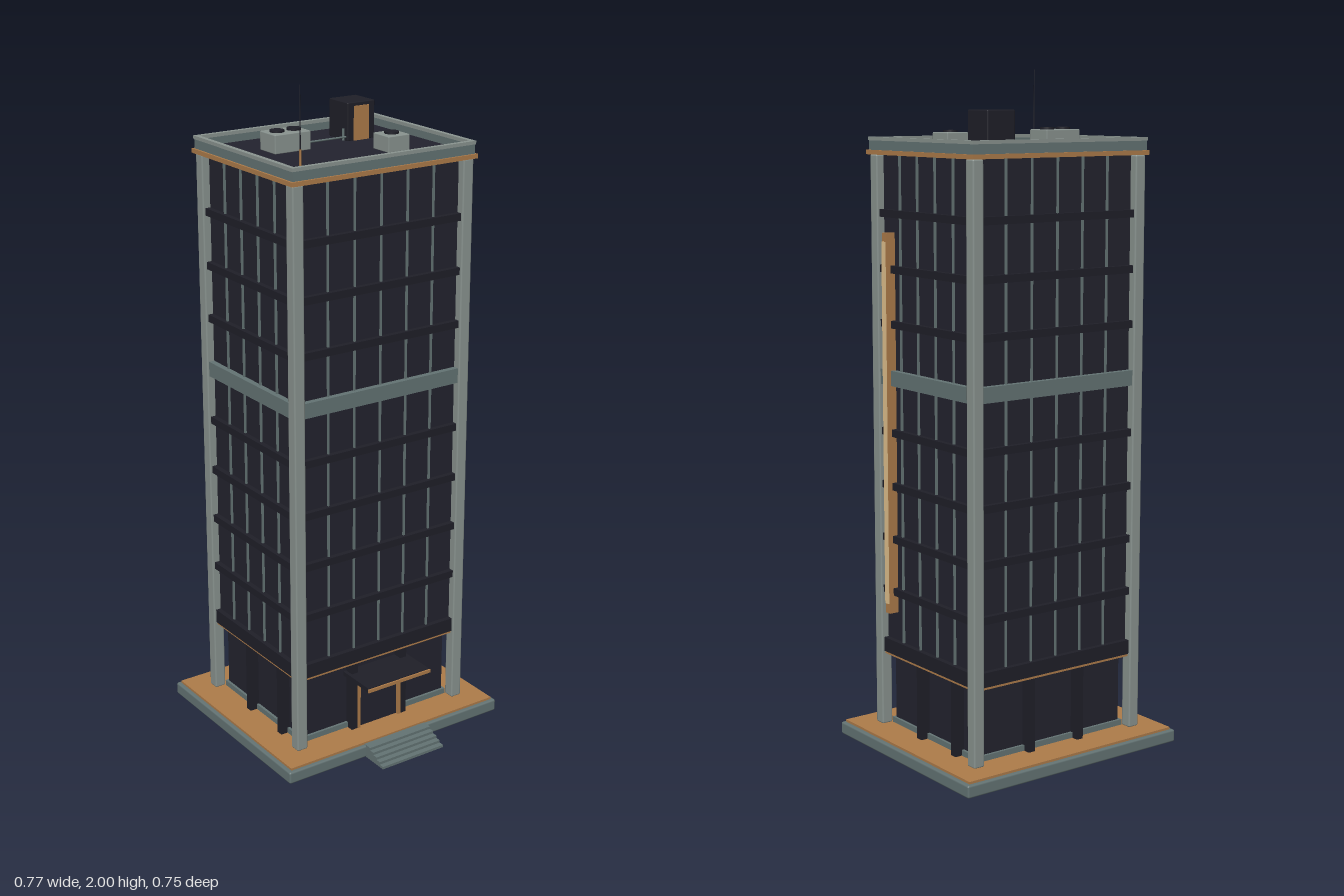
import * as THREE from 'three';
import { RoundedBoxGeometry } from 'three/addons/geometries/RoundedBoxGeometry.js';

const paint = (name, color) => {
  const m = new THREE.MeshStandardMaterial({ color });
  m.name = name;
  return m;
};

export function createModel() {
  const glass = paint('dark glass', 0x23232e);
  const charcoal = paint('charcoal metal', 0x1f1f28);
  const concrete = paint('light concrete', 0x8a9490);
  const slate = paint('slate stone', 0x647474);
  const bronze = paint('bronze', 0xae7c4a);
  const cream = paint('cream lamp', 0xe2c28e);

  const model = new THREE.Group();
  model.name = 'officeTower';
  const add = (parent, name, geometry, material, x, y, z) => {
    const mesh = new THREE.Mesh(geometry, material);
    mesh.name = name;
    mesh.position.set(x, y, z);
    parent.add(mesh);
    return mesh;
  };
  // box given by its limits on each axis; a bevel is optional
  const box = (parent, name, mat, x0, x1, y0, y1, z0, z1, bevel = 0) => {
    const size = [x1 - x0, y1 - y0, z1 - z0];
    const geo = bevel ? new RoundedBoxGeometry(...size, 1, bevel) : new THREE.BoxGeometry(...size);
    return add(parent, name, geo, mat, (x0 + x1) / 2, (y0 + y1) / 2, (z0 + z1) / 2);
  };
  const rod = (parent, name, mat, r0, r1, h, x, y, z, sides = 16) =>
    add(parent, name, new THREE.CylinderGeometry(r1, r0, h, sides), mat, x, y + h / 2, z);

  // Base and paving
  box(model, 'basePlate', slate, -0.385, 0.385, 0, 0.038, -0.375, 0.29, 0.006);
  box(model, 'paving', bronze, -0.373, 0.373, 0.036, 0.045, -0.364, 0.279);

  // Entrance steps
  for (let i = 0; i < 5; i++) {
    box(model, 'step', slate, -0.112, 0.112, 0, 0.008 * (i + 1), 0.27, 0.375 - i * 0.0165);
  }

  const tower = new THREE.Group();
  tower.name = 'tower';
  tower.position.z = -0.042;
  model.add(tower);
  const HX = 0.306, HZ = 0.254, COL = 0.036, TOP = 1.757;

  // Recessed ground storey, upper glass body and plinth
  box(tower, 'groundGlass', glass, -0.262, 0.262, 0.045, 0.28, -0.21, 0.21);
  box(tower, 'upperGlass', glass, -0.282, 0.282, 0.28, TOP, -0.23, 0.23);
  box(tower, 'plinth', slate, -0.27, 0.27, 0.045, 0.062, -0.218, 0.218);
  box(tower, 'soffit', bronze, -0.294, 0.294, 0.267, 0.275, -0.242, 0.242);

  // Corner columns
  for (const sx of [-1, 1]) for (const sz of [-1, 1]) {
    add(tower, 'cornerColumn', new RoundedBoxGeometry(COL, TOP - 0.045, COL, 1, 0.005), concrete,
      sx * (HX - COL / 2), (TOP + 0.045) / 2, sz * (HZ - COL / 2));
  }

  // One facade, facing local +z: w half width, d distance to the column face
  const facade = (name, angle, w, d, bays) => {
    const side = new THREE.Group();
    side.name = name;
    side.rotation.y = angle;
    tower.add(side);
    for (let i = 1; i < bays; i++) {
      const x = -w + (2 * w * i) / bays;
      box(side, 'mullion', slate, x - 0.0025, x + 0.0025, 0.3, TOP, d - 0.03, d - 0.018);
      if (i % 2 === 0) box(side, 'pier', charcoal, x - 0.011, x + 0.011, 0.045, 0.268, d - 0.05, d - 0.014);
    }
    box(side, 'baseSpandrel', charcoal, -w, w, 0.275, 0.318, d - 0.03, d - 0.008);
    for (let i = 1; i < 9; i++) {
      const y = 0.31 + i * 0.16;
      if (i === 5) box(side, 'middleBand', slate, -w, w, 1.09, 1.135, d - 0.03, d - 0.006);
      else box(side, 'spandrel', charcoal, -w, w, y - 0.011, y + 0.011, d - 0.03, d - 0.008);
    }
  };
  facade('frontFacade', 0, HX - COL, HZ, 6);
  facade('backFacade', Math.PI, HX - COL, HZ, 6);
  facade('leftFacade', Math.PI / 2, HZ - COL, HX, 5);
  facade('rightFacade', -Math.PI / 2, HZ - COL, HX, 5);

  // Roof: bronze cornice, deck and open parapet
  box(tower, 'cornice', bronze, -0.313, 0.313, TOP, 1.77, -0.262, 0.262);
  box(tower, 'roofDeck', glass, -0.3, 0.3, 1.768, 1.775, -0.25, 0.25);
  const rectangle = (path, x, z) =>
    path.moveTo(-x, -z).lineTo(x, -z).lineTo(x, z).lineTo(-x, z).closePath();
  const ring = (name, mat, x, z, t, y, h) => {
    const shape = rectangle(new THREE.Shape(), x, z);
    shape.holes.push(rectangle(new THREE.Path(), x - t, z - t));
    const geo = new THREE.ExtrudeGeometry(shape, { depth: h, bevelEnabled: false });
    geo.rotateX(-Math.PI / 2);
    add(tower, name, geo, mat, 0, y, 0);
  };
  ring('parapet', slate, 0.307, 0.256, 0.011, 1.77, 0.027);
  ring('parapetCap', concrete, 0.309, 0.258, 0.014, 1.797, 0.01);

  // Entrance: canopy and framed door
  box(model, 'canopy', charcoal, -0.112, 0.112, 0.222, 0.235, 0.165, 0.299);
  box(model, 'canopyTrim', bronze, -0.114, 0.114, 0.223, 0.233, 0.299, 0.304);
  box(model, 'door', glass, -0.075, 0.075, 0.045, 0.21, 0.165, 0.19);
  for (const s of [-1, 1]) {
    box(model, 'doorJamb', bronze, s * 0.075 - 0.005, s * 0.075 + 0.005, 0.045, 0.212, 0.165, 0.2);
  }
  box(model, 'doorHead', bronze, -0.08, 0.08, 0.202, 0.212, 0.165, 0.2);

  // Vertical light on the left facade
  box(model, 'lightHousing', bronze, 0.28, 0.312, 0.405, 1.535, 0.122, 0.144);
  box(model, 'lightStrip', cream, 0.312, 0.316, 0.435, 1.51, 0.125, 0.141);

  // Cooling units with round fans
  const cooler = (x0, x1, z0, z1, top, fans) => {
    box(model, 'coolingUnit', concrete, x0, x1, 1.774, top, z0, z1, 0.003);
    for (const x of fans) rod(model, 'fan', charcoal, 0.021, 0.021, 0.007, x, top - 0.001, (z0 + z1) / 2, 20);
  };
  cooler(-0.175, -0.054, -0.157, -0.077, 1.829, [-0.143, -0.086]);
  cooler(0.098, 0.172, 0.012, 0.088, 1.821, [0.135]);

  // Stair head with door, and the pipe leading to it
  box(model, 'stairHead', charcoal, 0.094, 0.189, 1.774, 1.886, -0.203, -0.108, 0.003);
  box(model, 'stairHeadDoor', bronze, 0.115, 0.166, 1.775, 1.875, -0.109, -0.104);
  rod(model, 'pipe', slate, 0.003, 0.003, 0.148, 0.02, 1.712, -0.118, 8).rotation.z = Math.PI / 2;
  rod(model, 'pipeRiser', slate, 0.004, 0.004, 0.035, 0.091, 1.774, -0.126, 8);

  // Antenna
  rod(model, 'antennaBase', bronze, 0.0035, 0.003, 0.05, -0.205, 1.774, 0.097, 8);
  rod(model, 'antenna', charcoal, 0.002, 0.001, 0.226, -0.205, 1.774, 0.097, 8);
  return model;
}
